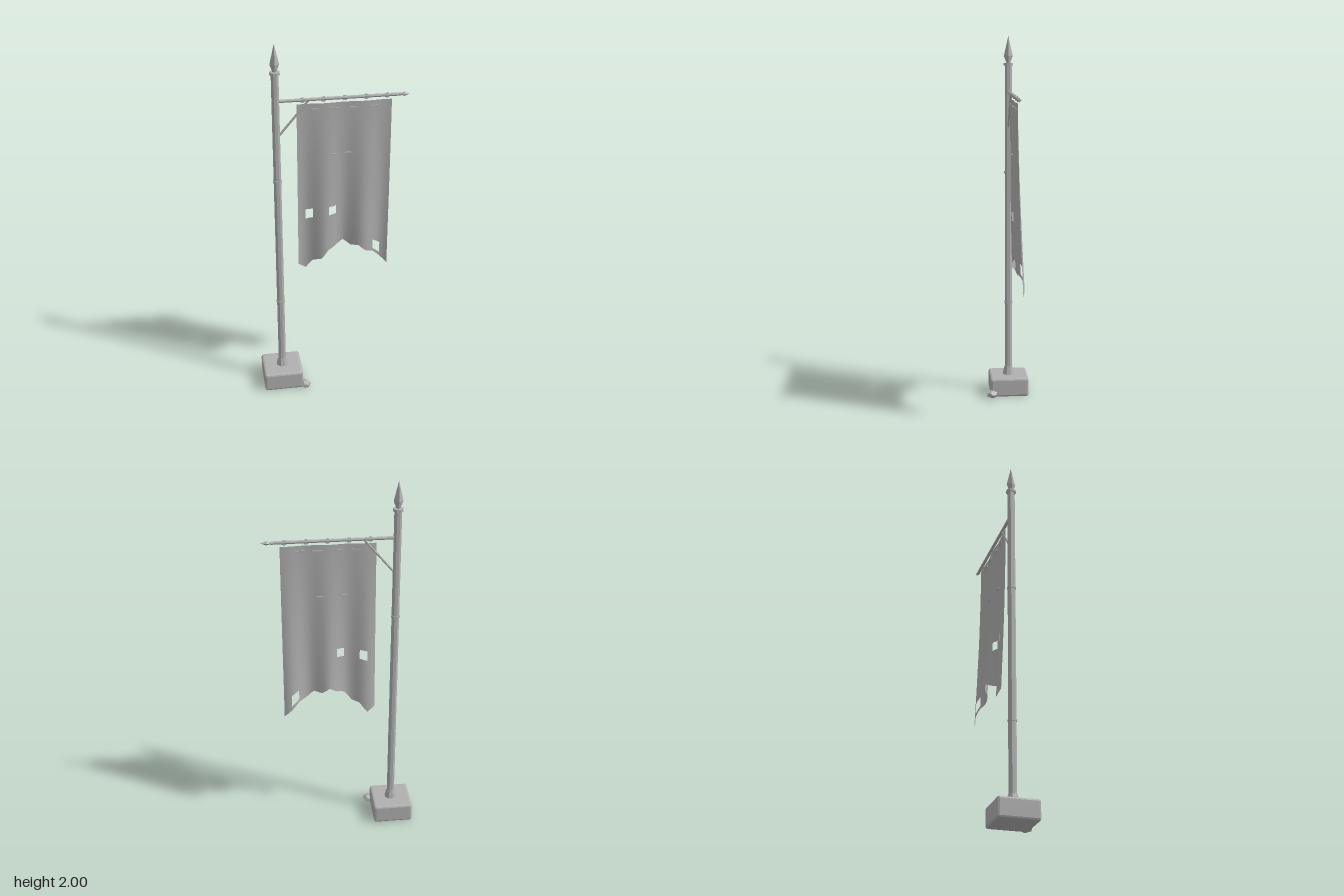
import * as THREE from 'three';
import { RoundedBoxGeometry } from 'three/addons/geometries/RoundedBoxGeometry.js';

const PX = -0.29, PZ = -0.015, ARM_Y = 1.7;
const CLOTH_X = -0.185, CLOTH_STEP = 0.0405, CLOTH_TOP = 1.677;

// cloth depth: folds that deepen and drift backwards towards the hem
function clothZ(x, t) {
  const fold = Math.cos((x - 0.06) * Math.PI * 2 / 0.205);
  return -0.013 - 0.021 * t * t - (0.003 + 0.016 * t) * fold;
}

// torn cloth as a grid with a ragged hem and a few missing cells
function clothGeometry() {
  const hem = [0.735, 0.704, 0.757, 0.767, 0.82, 0.836, 0.862, 0.831, 0.836, 0.799, 0.783, 0.741, 0.7];
  const rows = [];
  for (let k = 0; k <= 8; k++) rows.push(k * 0.0835);
  rows.push(0.725, 0.79, 0.855, 0.92, 0.98, 1);
  const holes = ['1,8', '4,8', '10,12'];
  const sub = 3, cols = 12 * sub, pos = [], idx = [];
  for (const t of rows) {
    for (let c = 0; c <= cols; c++) {
      const i = Math.min(11, Math.floor(c / sub)), f = c / sub - i;
      const edge = hem[i] + (hem[i + 1] - hem[i]) * f;
      const x = CLOTH_X + (c / sub) * CLOTH_STEP;
      const y = CLOTH_TOP - 0.895 * t + (edge - CLOTH_TOP + 0.895) * t ** 5;
      pos.push(x, y, clothZ(x, t));
    }
  }
  for (let r = 0; r < rows.length - 1; r++) {
    for (let c = 0; c < cols; c++) {
      if (holes.includes(`${Math.floor(c / sub)},${r}`)) continue;
      const a = r * (cols + 1) + c, b = a + cols + 1;
      idx.push(a, b, a + 1, b, b + 1, a + 1);
    }
  }
  const g = new THREE.BufferGeometry();
  g.setAttribute('position', new THREE.Float32BufferAttribute(pos, 3));
  g.setIndex(idx);
  g.computeVertexNormals();
  return g;
}

export function createModel() {
  const group = new THREE.Group();
  const grey = new THREE.MeshStandardMaterial({ color: 0xb0b0b0 });
  grey.name = 'grey';
  grey.side = THREE.DoubleSide;

  const add = (name, geo, x = 0, y = 0, z = 0, flat = true) => {
    let g = geo;
    if (flat) {
      g = geo.index ? geo.toNonIndexed() : geo;
      g.computeVertexNormals();
    }
    const m = new THREE.Mesh(g, grey);
    m.name = name;
    m.position.set(x, y, z);
    group.add(m);
    return m;
  };
  const lathe = (pts, sides) => new THREE.LatheGeometry(pts.map(p => new THREE.Vector2(...p)), sides);

  // foot block and loose stone
  add('base', new RoundedBoxGeometry(0.214, 0.105, 0.214, 1, 0.011), PX - 0.002, 0.0525, PZ);
  const stone = add('stone', new THREE.DodecahedronGeometry(0.036), -0.175, 0.023, 0.086);
  stone.scale.set(0.85, 0.6, 0.95);
  stone.rotation.y = 0.5;

  // eight-sided pole with its flared socket and bands
  const turn = Math.PI / 8;
  const ring = (name, r0, r1, y0, y1) => {
    add(name, new THREE.CylinderGeometry(r1, r0, y1 - y0, 8), PX, (y0 + y1) / 2, PZ).rotation.y = turn;
  };
  ring('pole', 0.021, 0.02, 0.1, 1.85);
  ring('socket', 0.034, 0.023, 0.103, 0.15);
  for (const y of [0.525, 1.26]) ring('poleBand', 0.024, 0.024, y - 0.006, y + 0.006);
  ring('topCollar', 0.027, 0.027, 1.842, 1.856);

  // four-sided spear point
  add('finial', lathe([[0, 1.85], [0.01, 1.855], [0.024, 1.895], [0, 2]], 4), PX, 0, PZ);

  // cross arm, its pointed end and diagonal brace
  const arm = add('arm', new THREE.CylinderGeometry(0.009, 0.009, 0.635, 8), PX + 0.3175, ARM_Y, PZ);
  arm.rotation.z = -Math.PI / 2;
  const tip = add('armTip', lathe([[0, 0], [0.004, 0.001], [0.012, 0.023], [0, 0.053]], 4), 0.342, ARM_Y, PZ);
  tip.rotation.z = -Math.PI / 2;
  const from = new THREE.Vector3(-0.28, 1.508, PZ), to = new THREE.Vector3(-0.122, 1.697, PZ);
  const dir = to.clone().sub(from), mid = from.clone().add(to).multiplyScalar(0.5);
  const brace = add('brace', new THREE.CylinderGeometry(0.006, 0.006, dir.length(), 6), mid.x, mid.y, mid.z);
  brace.quaternion.setFromUnitVectors(new THREE.Vector3(0, 1, 0), dir.normalize());

  // hanging rings
  for (let i = 0; i < 5; i++) {
    add('hangingRing', new THREE.TorusGeometry(0.011, 0.004, 6, 12), -0.155 + i * 0.108, ARM_Y - 0.001, PZ, false);
  }

  // banner, stitches along the top and small seams on the front
  add('banner', clothGeometry(), 0, 0, 0, false);
  const stitch = (name, x, y, w, h, d) =>
    add(name, new THREE.BoxGeometry(w, h, d), x, y, clothZ(x, (CLOTH_TOP - y) / 0.895));
  for (const x of [-0.085, 0.008, 0.11, 0.203]) stitch('stitch', x, 1.645, 0.052, 0.01, 0.008);
  for (const x of [-0.01, 0.09]) stitch('seam', x, 1.392, 0.06, 0.006, 0.006);

  return group;
}
